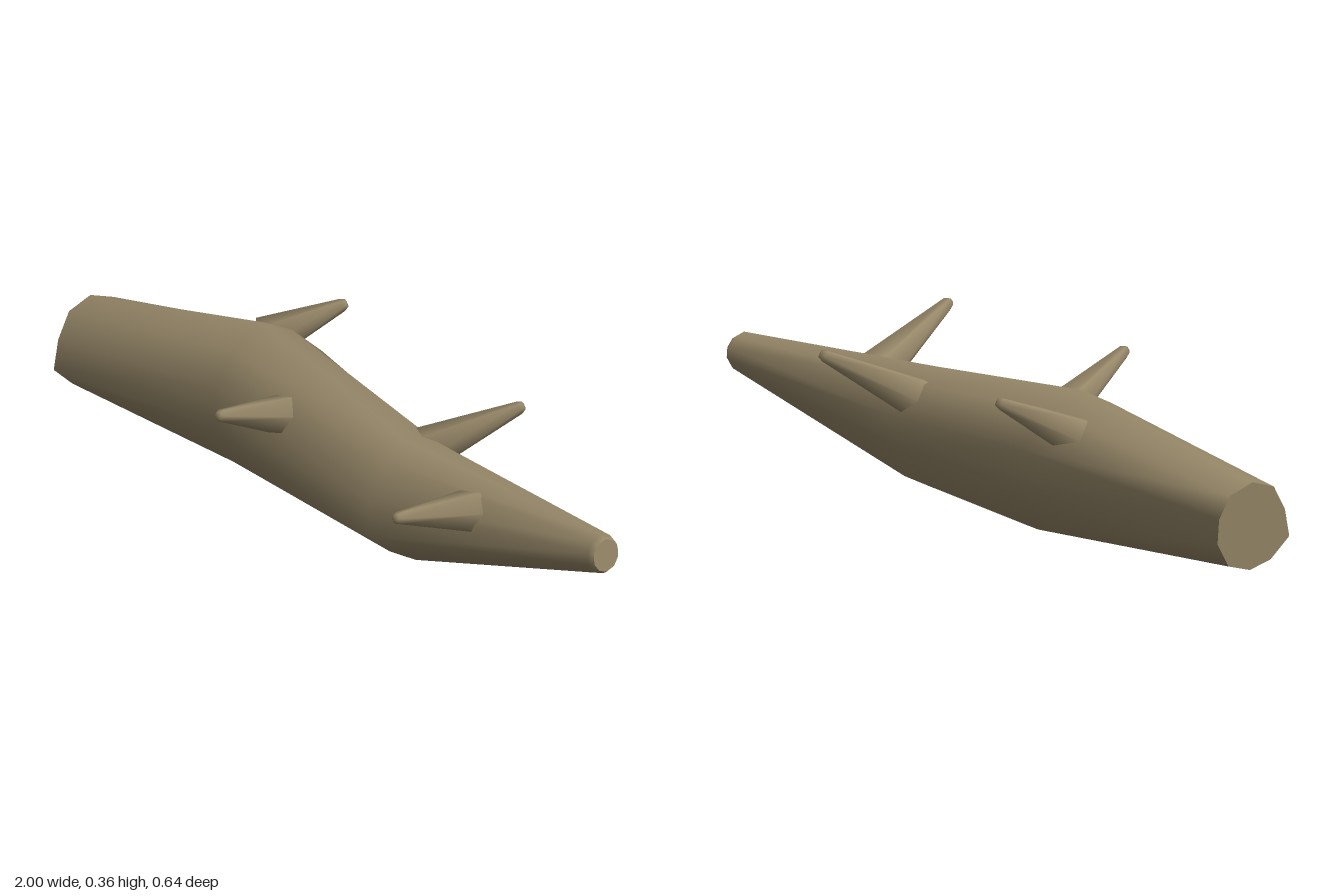
import * as THREE from 'three';

const SIDES = 10;

// Turns [z, y] outlines into a smooth closed trunk running along x; each ring leans with the trunk
function trunkGeometry(rings) {
  const positions = [], index = [];
  for (const { x, cy, cz, outline } of rings) {
    for (const [z, y] of outline) positions.push(x - 0.11 * (y - cy) + 0.13 * (z - cz), y, z);
  }
  for (let i = 0; i < rings.length - 1; i++) {
    for (let j = 0; j < SIDES; j++) {
      const k = (j + 1) % SIDES;
      const a = i * SIDES + j, b = i * SIDES + k;
      index.push(a, b, a + SIDES, b, b + SIDES, a + SIDES);
    }
  }
  // Separate vertices keep the end cuts crisp
  for (const end of [0, rings.length - 1]) {
    const start = positions.length / 3;
    positions.push(...positions.slice(end * SIDES * 3, (end + 1) * SIDES * 3));
    for (let j = 1; j < SIDES - 1; j++) {
      if (end) index.push(start, start + j, start + j + 1);
      else index.push(start, start + j + 1, start + j);
    }
  }
  const geometry = new THREE.BufferGeometry();
  geometry.setAttribute('position', new THREE.Float32BufferAttribute(positions, 3));
  geometry.setIndex(index);
  geometry.computeVertexNormals();
  return geometry;
}

// Outline of a round section, from the top towards +z
function circle(cz, cy, r) {
  return Array.from({ length: SIDES }, (_, j) => {
    const a = (j / SIDES) * Math.PI * 2;
    return [cz + Math.sin(a) * r, cy + Math.cos(a) * r];
  });
}

// Tapered six-sided stub from base to tip, with a small bevelled end
function branch(base, tip, material) {
  const from = new THREE.Vector3(...base), to = new THREE.Vector3(...tip);
  const length = from.distanceTo(to);
  const profile = [[0, 0], [0.055, 0], [0.016, length - 0.012], [0.01, length], [0, length]];
  const geometry = new THREE.LatheGeometry(profile.map(([r, y]) => new THREE.Vector2(r, y)), 6);
  const mesh = new THREE.Mesh(geometry, material);
  mesh.position.copy(from);
  mesh.quaternion.setFromUnitVectors(new THREE.Vector3(0, 1, 0), to.sub(from).normalize());
  mesh.name = 'branch';
  return mesh;
}

export function createModel() {
  const model = new THREE.Group();
  model.name = 'fallenLog';
  const bark = new THREE.MeshStandardMaterial({ color: 0x968768 });
  bark.name = 'bark';

  // Trunk: thick cut end, two knobbly bends, thin bevelled end
  const trunk = new THREE.Mesh(trunkGeometry([
    { x: -0.98, cy: 0.11, cz: 0, outline: [
      [-0.01, 0.22], [0.06, 0.2], [0.1, 0.14], [0.12, 0.07], [0.065, 0.02],
      [0, 0.002], [-0.07, 0.02], [-0.11, 0.08], [-0.11, 0.14], [-0.08, 0.195]] },
    { x: -0.36, cy: 0.18, cz: -0.085, outline: [
      [-0.08, 0.355], [0.02, 0.31], [0.08, 0.24], [0.09, 0.14], [0.04, 0.04],
      [-0.075, 0], [-0.19, 0.025], [-0.22, 0.13], [-0.26, 0.23], [-0.17, 0.31]] },
    { x: 0.31, cy: 0.155, cz: -0.03, outline: [
      [-0.03, 0.3], [0.04, 0.27], [0.1, 0.19], [0.117, 0.105], [0.05, 0.05],
      [-0.03, 0.005], [-0.11, 0.04], [-0.145, 0.12], [-0.175, 0.2], [-0.12, 0.275]] },
    { x: 0.982, cy: 0.238, cz: -0.113, outline: circle(-0.113, 0.238, 0.048) },
    { x: 0.995, cy: 0.238, cz: -0.115, outline: circle(-0.115, 0.238, 0.04) },
  ]), bark);
  trunk.name = 'trunk';
  model.add(trunk);

  // Branches alternate between the front and back of the trunk
  const branches = [
    [[0.59, 0.235, 0], [0.735, 0.35, 0.315]],
    [[0.24, 0.24, -0.12], [0.37, 0.35, -0.315]],
    [[-0.12, 0.235, 0.03], [0, 0.35, 0.315]],
    [[-0.47, 0.26, -0.15], [-0.365, 0.35, -0.315]],
  ];
  for (const [base, tip] of branches) model.add(branch(base, tip, bark));
  return model;
}
